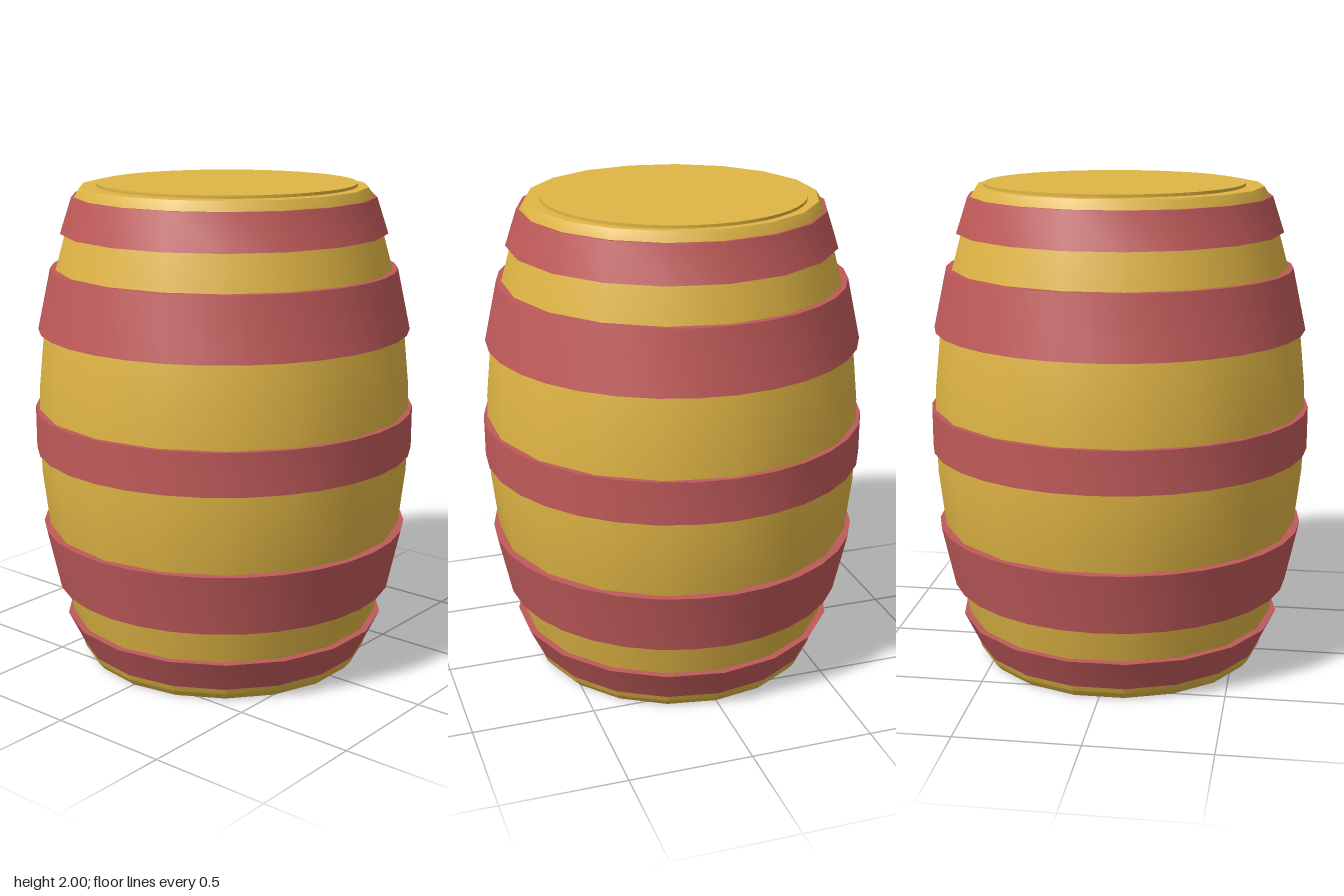
import * as THREE from 'three';
import { toCreasedNormals } from 'three/addons/utils/BufferGeometryUtils.js';

const wood = new THREE.MeshStandardMaterial({ color: 0xe0b545 });
const red = new THREE.MeshStandardMaterial({ color: 0xc05a5a });

// Revolve a closed [radius, y] profile, keeping its rims sharp
function turned(name, profile, sides, material) {
  const points = profile.map(([r, y]) => new THREE.Vector2(r, y));
  const geometry = toCreasedNormals(new THREE.LatheGeometry(points, sides), 0.5);
  const mesh = new THREE.Mesh(geometry, material);
  mesh.name = name;
  return mesh;
}

export function createModel() {
  const barrel = new THREE.Group();
  barrel.name = 'barrel';

  // Bulging stave wall, hollow and open at the bottom
  const outer = [
    [0.58, 0], [0.605, 0.03], [0.65, 0.2], [0.688, 0.36], [0.742, 0.6], [0.767, 0.82], [0.772, 1],
    [0.767, 1.18], [0.742, 1.42], [0.695, 1.64], [0.65, 1.8], [0.608, 1.95], [0.585, 1.988],
  ];
  const inner = outer.slice(1, -1).reverse().map(([r, y]) => [r - 0.05, y]);
  const wall = [...outer, [0.55, 1.988], ...inner, [0.55, 0], outer[0]];
  barrel.add(turned('staveWall', wall, 18, wood));

  // Top head closing the wall, and the raised lid disc on it
  barrel.add(turned('topHead', [[0, 1.94], [0.565, 1.94], [0.565, 1.988], [0, 1.988]], 18, wood));
  const lid = turned('lid', [[0, 1.97], [0.53, 1.97], [0.53, 2], [0, 2]], 48, wood);
  lid.position.z = -0.02;
  barrel.add(lid);

  // Hoops: name, bottom y, top y, bottom radius, top radius, sides
  const hoops = [
    ['bottomHoop', 0.04, 0.185, 0.605, 0.675, 18],
    ['lowerWideHoop', 0.33, 0.585, 0.71, 0.765, 32],
    ['middleHoop', 0.91, 1.085, 0.785, 0.785, 32],
    ['upperWideHoop', 1.41, 1.66, 0.765, 0.71, 32],
    ['topHoop', 1.805, 1.95, 0.668, 0.62, 18],
  ];
  for (const [name, y0, y1, r0, r1, sides] of hoops) {
    const t = 0.045;
    const profile = [[r0 - t, y0], [r0, y0], [r1, y1], [r1 - t, y1], [r0 - t, y0]];
    barrel.add(turned(name, profile, sides, red));
  }
  return barrel;
}
